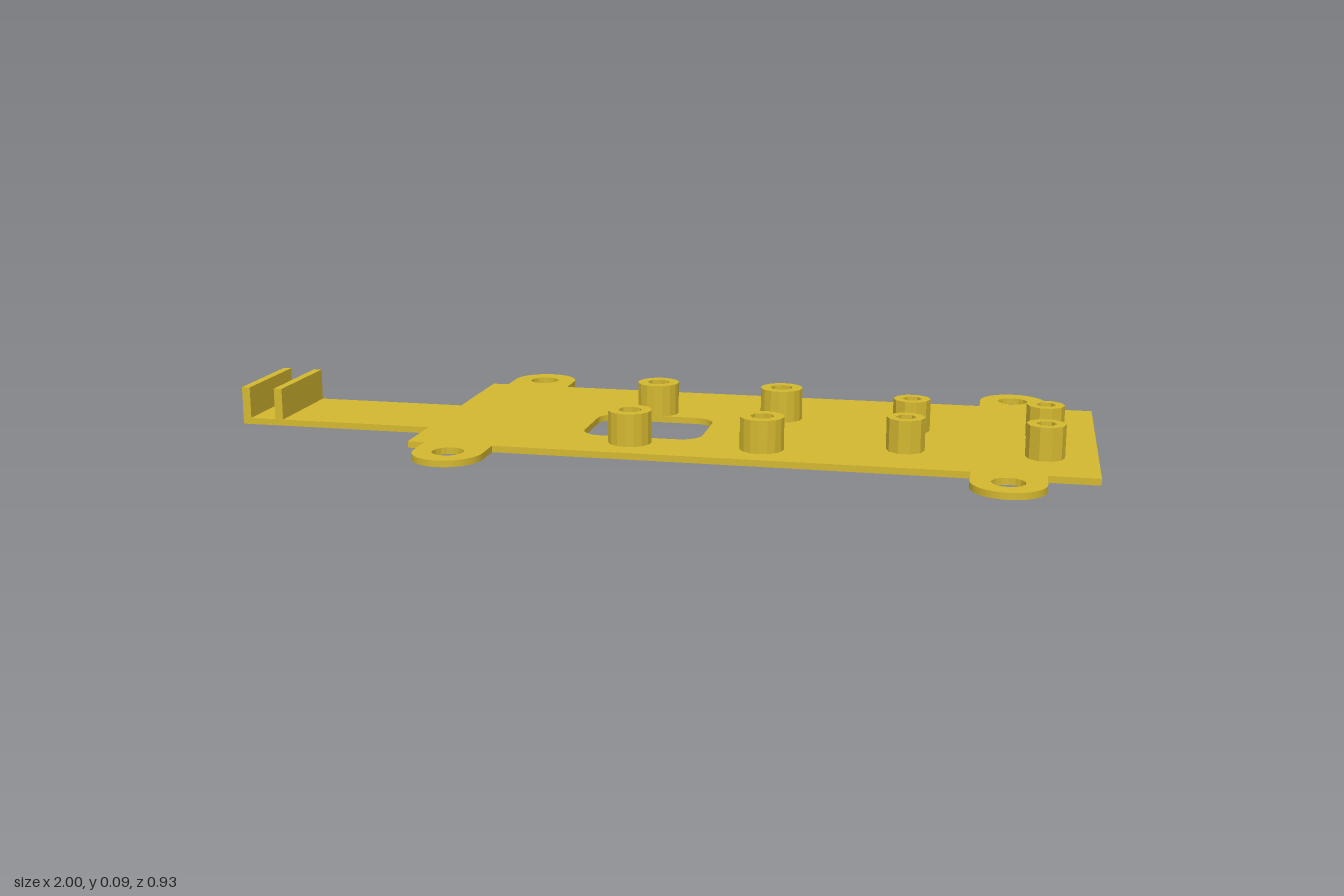
import * as THREE from 'three';

const T = 0.015, H = 0.09; // plate thickness, height of raised parts

// Extrude a plan outline (x, z) between two heights
function slab(shape, y0, y1, segments = 10) {
  const g = new THREE.ExtrudeGeometry(shape, { depth: y1 - y0, bevelEnabled: false, curveSegments: segments });
  g.rotateX(Math.PI / 2);
  g.translate(0, y1, 0);
  return g;
}

// Regular polygon points around a centre
function ring(r, sides, cx = 0, cz = 0) {
  return Array.from({ length: sides }, (_, i) => {
    const a = (i / sides) * Math.PI * 2;
    return new THREE.Vector2(cx + r * Math.cos(a), cz + r * Math.sin(a));
  });
}

function roundedHole(x0, z0, x1, z1, r) {
  const p = new THREE.Path();
  p.absarc(x1 - r, z1 - r, r, 0, Math.PI / 2, false);
  p.absarc(x0 + r, z1 - r, r, Math.PI / 2, Math.PI, false);
  p.absarc(x0 + r, z0 + r, r, Math.PI, Math.PI * 1.5, false);
  p.absarc(x1 - r, z0 + r, r, Math.PI * 1.5, Math.PI * 2, false);
  p.closePath();
  return p;
}

export function createModel() {
  const model = new THREE.Group();
  model.name = 'mountingPlate';
  const gold = new THREE.MeshStandardMaterial({ color: 0xd4b830, flatShading: true });
  gold.name = 'gold';
  const add = (name, geometry) => {
    const mesh = new THREE.Mesh(geometry, gold);
    mesh.name = name;
    model.add(mesh);
    return mesh;
  };

  // Base plate outline: arm, body and four round screw ears
  const W = 0.318, earX = [-0.41, 0.81], earZ = 0.387, earR = 0.08;
  const s = new THREE.Shape();
  s.moveTo(-1, -0.055);
  s.lineTo(-0.53, -0.055);
  s.lineTo(-0.53, -W);
  for (const x of earX) {
    s.lineTo(x - earR, -W);
    s.absarc(x, -earZ, earR, Math.PI, Math.PI * 2, false);
    s.lineTo(x + earR, -W);
  }
  s.lineTo(1, -W);
  s.lineTo(1, W);
  for (const x of [...earX].reverse()) {
    s.lineTo(x + earR, W);
    s.absarc(x, earZ, earR, 0, Math.PI, false);
    s.lineTo(x - earR, W);
  }
  s.lineTo(-0.53, W);
  s.lineTo(-0.53, 0.18);
  s.lineTo(-1, 0.18);
  s.closePath();

  // Cable window and screw holes
  s.holes.push(roundedHole(-0.165, -0.045, 0.115, 0.172, 0.05));
  for (const x of earX) for (const z of [-earZ, earZ]) s.holes.push(new THREE.Path(ring(0.036, 16, x, z)));
  add('basePlate', slab(s, 0, T, 16));

  // Hollow standoffs, closed at the bottom by the plate
  const standoffs = (name, xs, zs, r, sides, holeR, holeSides) => {
    const shape = new THREE.Shape(ring(r, sides));
    shape.holes.push(new THREE.Path(ring(holeR, holeSides)));
    const g = slab(shape, T, H);
    for (const x of xs) for (const z of zs) add(name, g).position.set(x, 0, z);
  };
  standoffs('largeStandoff', [-0.035, 0.267], [-0.088, 0.216], 0.05, 16, 0.027, 8);
  standoffs('smallStandoff', [0.581, 0.885], [-0.031, 0.158], 0.043, 10, 0.023, 6);

  // Two upright walls forming a slot at the end of the arm
  for (const x of [-0.99, -0.908]) {
    const wall = add('slotWall', new THREE.BoxGeometry(0.02, H - T, 0.235));
    wall.position.set(x, (H + T) / 2, 0.0625);
  }
  return model;
}
